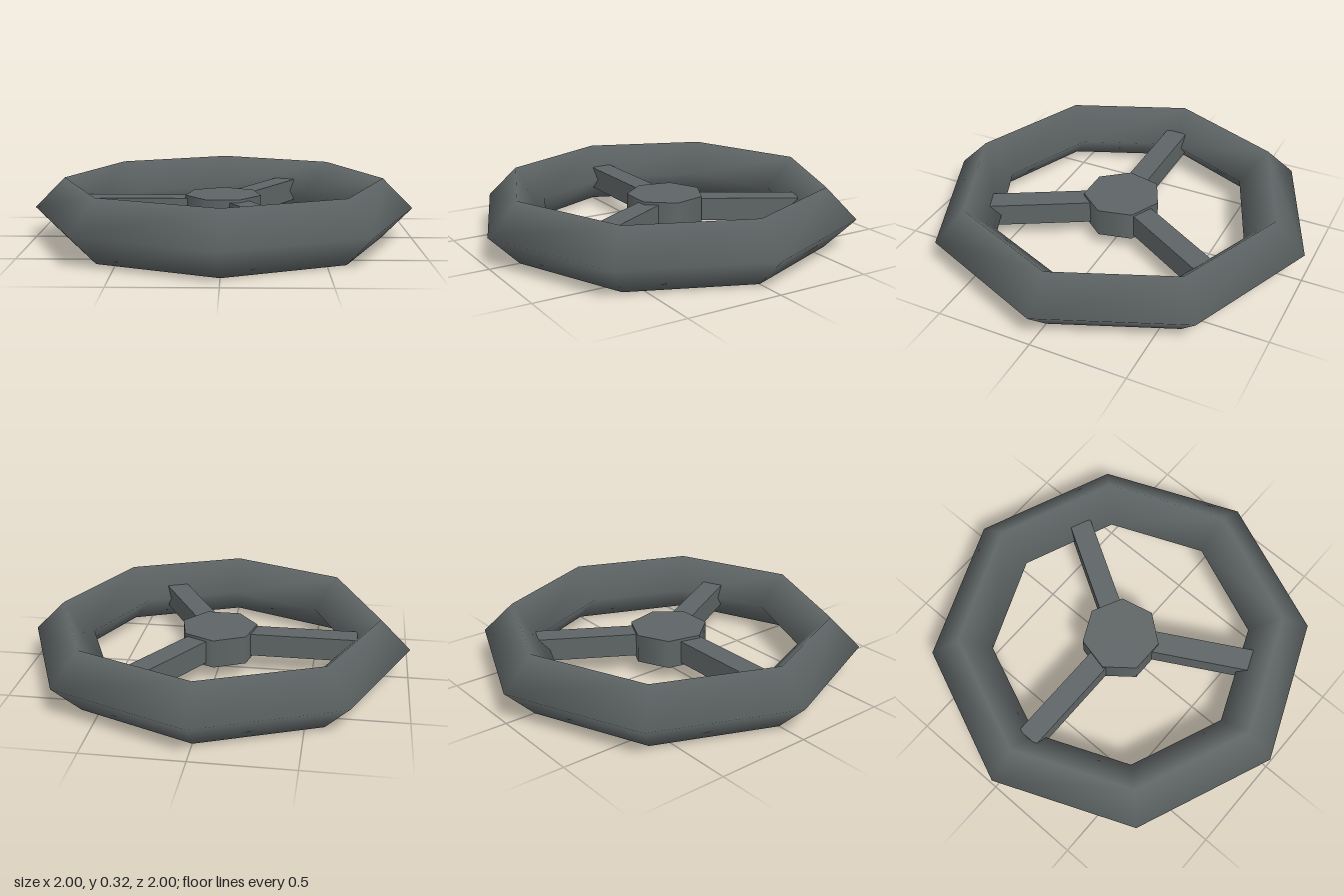
import * as THREE from 'three';

export function createModel() {
  const group = new THREE.Group();
  const darkGrey = new THREE.MeshStandardMaterial({ color: 0x5f6566 });
  darkGrey.name = 'dark grey';
  const midY = 0.16;

  const add = (name, geometry) => {
    const mesh = new THREE.Mesh(geometry, darkGrey);
    mesh.name = name;
    mesh.position.y = midY;
    group.add(mesh);
    return mesh;
  };

  // Octagonal rim with a diamond cross-section and smooth normals
  add('rim', new THREE.TorusGeometry(0.84, 0.16, 4, 8).rotateX(-Math.PI / 2));

  // Seven-sided hub with one corner pointing to the back
  add('hub', new THREE.CylinderGeometry(0.203, 0.203, 0.15, 7).rotateY(Math.PI));

  // Three square spokes: [angle in degrees, outer radius]
  const innerRadius = 0.08;
  for (const [angle, outerRadius] of [[180, 0.725], [59.3, 0.695], [-60.9, 0.695]]) {
    const length = outerRadius - innerRadius;
    const geometry = new THREE.BoxGeometry(length, 0.12, 0.116);
    geometry.translate(innerRadius + length / 2, 0, 0);
    add('spoke', geometry).rotation.y = THREE.MathUtils.degToRad(angle);
  }

  return group;
}
